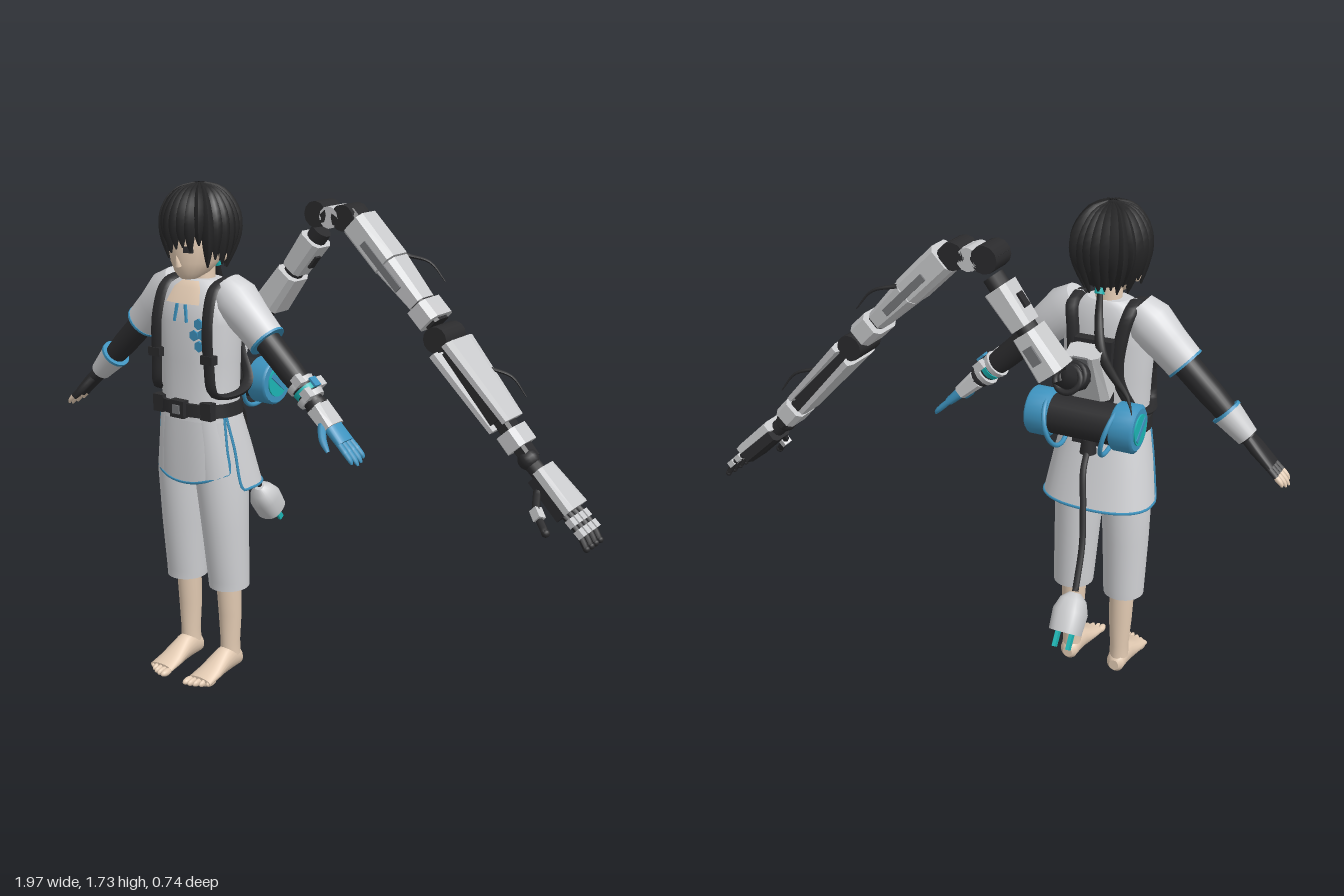
import * as THREE from 'three';

const mat = (name, color, side = THREE.FrontSide) => {
  const m = new THREE.MeshStandardMaterial({ color, side });
  m.name = name;
  return m;
};
const V = (x, y, z) => new THREE.Vector3(x, y, z);

function add(parent, name, geo, material, pos = [0, 0, 0], rot = [0, 0, 0]) {
  const m = new THREE.Mesh(geo, material);
  m.name = name;
  m.position.set(...pos);
  m.rotation.set(...rot);
  parent.add(m);
  return m;
}
const box = (w, h, d) => new THREE.BoxGeometry(w, h, d);
const cyl = (r0, r1, h, n = 16) => new THREE.CylinderGeometry(r1, r0, h, n);
const ball = (r) => new THREE.SphereGeometry(r, 14, 10);
const flat = (g) => { const f = g.toNonIndexed(); f.computeVertexNormals(); return f; };

// Point on a rounded ring [y, rx, rz, cx, cz]; angle 0 is the front
function ringPoint([y, rx, rz, cx = 0, cz = 0], a, p) {
  const f = (v) => Math.sign(v) * Math.abs(v) ** p;
  return V(cx + rx * f(Math.sin(a)), y, cz + rz * f(Math.cos(a)));
}

// Skin through a stack of rings, bottom to top
function loft(rings, { n = 24, p = 1, a0 = 0, a1 = Math.PI * 2, cap = true, rule = null } = {}) {
  const open = a1 - a0 < 6.28, cols = open ? n + 1 : n, pos = [], idx = [];
  const put = (v) => pos.push(v.x, v.y, v.z) / 3 - 1;
  const point = (r, j) => {
    const v = ringPoint(r, a0 + (a1 - a0) * j / n, p);
    if (rule) rule(v);
    return v;
  };
  rings.forEach((r) => { for (let j = 0; j < cols; j++) put(point(r, j)); });
  for (let i = 0; i < rings.length - 1; i++) for (let j = 0; j < n; j++) {
    const a = i * cols + j, b = i * cols + (j + 1) % cols;
    idx.push(a, b, a + cols, b, b + cols, a + cols);
  }
  if (cap && !open) [rings[0], rings.at(-1)].forEach((r, top) => {
    const c = put(V(r[3] || 0, r[0], r[4] || 0)), s = c + 1;
    for (let j = 0; j < n; j++) put(point(r, j));
    for (let j = 0; j < n; j++) {
      const k = s + (j + 1) % n;
      idx.push(c, top ? s + j : k, top ? k : s + j);
    }
  });
  const g = new THREE.BufferGeometry();
  g.setAttribute('position', new THREE.Float32BufferAttribute(pos, 3));
  g.setIndex(idx);
  g.computeVertexNormals();
  return g;
}

// Tube along points whose radius follows a function of 0..1
function taper(points, radius, segs = 16, sides = 8) {
  const curve = new THREE.CatmullRomCurve3(points.map((q) => q.isVector3 ? q : V(...q)));
  const g = new THREE.TubeGeometry(curve, segs, 1, sides), at = g.attributes.position, v = V(0, 0, 0);
  for (let i = 0; i <= segs; i++) {
    const c = curve.getPointAt(i / segs);
    for (let j = 0; j <= sides; j++) {
      const k = i * (sides + 1) + j;
      v.fromBufferAttribute(at, k).sub(c).multiplyScalar(radius(i / segs)).add(c);
      at.setXYZ(k, v.x, v.y, v.z);
    }
  }
  g.computeVertexNormals();
  return g;
}

// Group whose local +y runs from a to b (both in one plane of z)
function frame(parent, name, a, b) {
  const g = new THREE.Group();
  g.name = name;
  g.position.set(...a);
  g.rotation.z = Math.atan2(a[0] - b[0], b[1] - a[1]);
  parent.add(g);
  return g;
}
// Chamfered armour block between two local heights
const armor = (y0, y1, w0, d0, w1 = w0, d1 = d0) => flat(loft(
  [[y0, w0, d0], [y1, w1, d1]], { n: 8, p: 0.5, a0: Math.PI / 8, a1: Math.PI * 2.125 }));

export function createModel() {
  const root = new THREE.Group();
  root.name = 'figureWithMechanicalArm';
  const cloth = mat('paleCloth', 0xd0d1d4), clothOpen = mat('paleClothThin', 0xd0d1d4, THREE.DoubleSide);
  const skin = mat('skin', 0xe3cbb3), hair = mat('hairBlack', 0x262627, THREE.DoubleSide);
  const dark = mat('darkFabric', 0x2b2b2d), blue = mat('blue', 0x3d93bf);
  const teal = mat('teal', 0x1cb5b4), metal = mat('paleMetal', 0xc9cacc), gray = mat('midGray', 0x77787b);
  const body = new THREE.Group();
  body.name = 'body';
  body.position.x = -0.335;
  root.add(body);

  // Tunic, neck and neckline
  const torso = [[0.95, 0.15, 0.105, 0, 0.175], [1.02, 0.143, 0.1, 0, 0.172], [1.15, 0.148, 0.1, 0, 0.168],
    [1.28, 0.155, 0.1, 0, 0.166], [1.35, 0.15, 0.092, 0, 0.162], [1.4, 0.115, 0.072, 0, 0.155], [1.42, 0.07, 0.055, 0, 0.15]];
  add(body, 'tunic', loft(torso, { p: 0.85, n: 32 }), cloth);
  add(body, 'neckline', loft(torso.slice(4).map(([y, x, z, cx, cz]) => [y - 0.004, x + 0.004, z + 0.006, cx, cz]),
    { p: 0.85, a0: -0.42, a1: 0.42, n: 8 }), skin);
  add(body, 'neck', loft([[1.37, 0.055, 0.05, 0, 0.15], [1.42, 0.044, 0.044, 0, 0.148], [1.5, 0.046, 0.048, 0, 0.15]]), skin);
  for (const s of [-1, 1]) add(body, 'neckTrim', box(0.008, 0.06, 0.008), blue, [s * 0.022, 1.315, 0.263], [-0.1, 0, s * 0.15]);
  for (const [x, y] of [[0.075, 1.285], [0.055, 1.245], [0.09, 1.25], [0.075, 1.21]])
    add(body, 'chestHexagon', cyl(0.019, 0.019, 0.008, 6), blue, [x, y, 0.262], [Math.PI / 2, 0, 0]);

  // Split skirt with coloured hems
  const skirt = (name, rings, a0, a1, rule) => {
    add(body, name, loft(rings, { a0, a1, n: 20, p: 0.85, rule }), clothOpen);
    const hem = [];
    const edge = (r, a) => { const v = ringPoint(r, a, 0.85); rule(v); hem.push(v); };
    for (let i = rings.length - 1; i > 0; i--) edge(rings[i], a0);
    for (let j = 0; j <= 16; j++) edge(rings[0], a0 + (a1 - a0) * j / 16);
    for (let i = 1; i < rings.length; i++) edge(rings[i], a1);
    add(body, name + 'Hem', taper(hem, () => 0.005, 80, 5), blue);
  };
  skirt('frontSkirt', [[0.73, 0.165, 0.115, 0, 0.168], [0.86, 0.158, 0.112, 0, 0.17], [0.98, 0.147, 0.104, 0, 0.174]],
    -1.2, 1.2, (v) => { if (v.y < 0.8) v.y += 1.6 * v.x * v.x; });
  skirt('backSkirt', [[0.71, 0.195, 0.13, 0, 0.13], [0.86, 0.172, 0.115, 0, 0.155], [0.98, 0.147, 0.104, 0, 0.174]],
    1.25, Math.PI * 2 - 1.25, () => {});

  // Belt with pouches
  add(body, 'belt', loft([[0.968, 0.157, 0.113, 0, 0.175], [1.012, 0.154, 0.111, 0, 0.175]], { p: 0.85, n: 32 }), dark);
  for (const x of [-0.105, 0, 0.105])
    add(body, 'beltPouch', box(x ? 0.045 : 0.06, 0.06, 0.03), dark, [x, 0.992, x ? 0.26 : 0.285]);
  add(body, 'buckle', box(0.03, 0.03, 0.006), gray, [0, 0.992, 0.302]);

  // Legs, trousers and feet
  for (const s of [-1, 1]) {
    add(body, 'trouserLeg', loft([[0.33, 0.071, 0.073, s * 0.097, 0.157], [0.36, 0.073, 0.074, s * 0.096, 0.157],
      [0.55, 0.08, 0.086, s * 0.092, 0.165], [0.75, 0.088, 0.1, s * 0.084, 0.17], [0.96, 0.075, 0.095, s * 0.07, 0.174]]), cloth);
    add(body, 'lowerLeg', loft([[0.06, 0.034, 0.04, s * 0.093, 0.152], [0.11, 0.033, 0.038, s * 0.093, 0.152],
      [0.22, 0.041, 0.042, s * 0.093, 0.15], [0.36, 0.045, 0.045, s * 0.092, 0.155]]), skin);
    const foot = loft([[0.108, 0.018, 0.02, s * 0.092, -0.035], [0.12, 0.032, 0.036, s * 0.092, -0.04],
      [0.16, 0.036, 0.05, s * 0.092, -0.052], [0.2, 0.039, 0.046, s * 0.092, -0.047], [0.27, 0.048, 0.026, s * 0.091, -0.027],
      [0.325, 0.05, 0.016, s * 0.09, -0.016]], { n: 20 });
    add(body, 'foot', foot.rotateX(Math.PI / 2), skin);
    for (let i = 0; i < 5; i++)
      add(body, 'toe', ball(1), skin, [s * (0.052 + i * 0.019), 0.014, 0.34 - i * i * 0.0022])
        .scale.set(i ? 0.0095 : 0.013, 0.013, 0.027);
  }

  // Head and face
  add(body, 'head', loft([[1.425, 0.028, 0.03, 0, 0.215], [1.445, 0.055, 0.062, 0, 0.198], [1.48, 0.079, 0.088, 0, 0.18],
    [1.53, 0.095, 0.104, 0, 0.167], [1.6, 0.1, 0.11, 0, 0.16], [1.68, 0.07, 0.08, 0, 0.155]]), skin);
  add(body, 'nose', new THREE.ConeGeometry(0.012, 0.04, 8), skin, [0, 1.49, 0.272], [0.3, 0, 0]);
  for (const s of [-1, 1]) {
    add(body, 'eye', box(0.032, 0.02, 0.008), dark, [s * 0.04, 1.527, 0.263], [0, s * 0.35, 0]);
    add(body, 'ear', ball(1), skin, [s * 0.094, 1.51, 0.15]).scale.set(0.012, 0.028, 0.02);
  }

  // Hair: cap, back shell, overlapping locks and a thin tail
  const dome = [0, 0.25, 0.5, 0.7, 0.85, 0.95, 1].map((t) => {
    const c = Math.sqrt(Math.max(1 - t * t, 0.0004));
    return [1.585 + 0.148 * t, 0.115 * c, 0.132 * c, 0, 0.152];
  });
  add(body, 'hairCap', loft(dome, { n: 28 }), hair);
  add(body, 'backHair', loft([[1.48, 0.075, 0.085, 0, 0.135], [1.53, 0.105, 0.12, 0, 0.145], [1.59, 0.115, 0.132, 0, 0.152]],
    { a0: 1.1, a1: Math.PI * 2 - 1.1 }), hair);
  for (let i = 0; i < 26; i++) {
    const a = i / 26 * Math.PI * 2, front = Math.cos(a);
    const end = (front > 0.6 ? 1.527 : front > -0.2 ? 1.48 : 1.462) + 0.014 * Math.sin(i * 2.7);
    const inward = front > 0.6 ? 0.97 : front > -0.2 ? 0.93 : 0.72;
    const at = (k, y) => [0.109 * k * Math.sin(a), y, 0.152 + 0.127 * k * front];
    add(body, 'hairLock', taper([at(0.12, 1.727), at(0.6, 1.702), at(0.92, 1.645), at(1.01, 1.585), at(inward, end)],
      (t) => 0.008 + 0.017 * Math.sin(Math.PI * Math.min(t * 0.85, 1)) - 0.013 * t ** 4, 14, 5), hair);
  }
  add(body, 'hairTie', cyl(0.016, 0.016, 0.022), teal, [0, 1.462, 0.07], [0.4, 0, 0]);
  add(body, 'hairTail', taper([[0, 1.47, 0.075], [-0.01, 1.38, 0.045], [-0.05, 1.29, -0.02], [-0.12, 1.24, -0.08], [-0.18, 1.2, -0.115], [-0.205, 1.15, -0.135]],
    (t) => 0.009 + 0.012 * Math.sin(Math.PI * t) - 0.008 * t), hair);

  // Arms: sleeve, dark undersleeve, cuffs and hands
  for (const s of [-1, 1]) {
    const left = s > 0;
    const arm = frame(body, left ? 'leftArm' : 'rightArm', [s * 0.165, 1.335, 0.148], [s * 0.655, 0.875, 0.148]);
    add(arm, 'sleeve', loft([[-0.09, 0.06, 0.06], [-0.03, 0.08, 0.078], [0.06, 0.07, 0.066], [0.145, 0.065, 0.062]]), cloth);
    add(arm, 'sleeveHem', cyl(0.066, 0.066, 0.008, 24), blue, [0, 0.146, 0]);
    add(arm, 'undersleeve', loft([[0.1, 0.046, 0.046], [0.28, 0.043, 0.043], [0.46, 0.029, 0.032]]), dark);
    if (left) {
      for (const [y, r, m] of [[0.335, 0.05, metal], [0.362, 0.043, teal], [0.39, 0.049, metal]])
        add(arm, 'bracer', cyl(r, r - 0.003, 0.02, 12), m, [0, y, 0]);
      for (const [y, z] of [[0.33, 0.04], [0.385, 0.045], [0.36, -0.045]])
        add(arm, 'bracerModule', box(0.03, 0.035, 0.028), metal, [-0.03, y, z]);
      add(arm, 'bracerLight', box(0.008, 0.035, 0.03), blue, [-0.052, 0.36, 0]);
      add(arm, 'wristPlate', armor(0.425, 0.51, 0.034, 0.038, 0.026, 0.044), metal);
      add(arm, 'wristBand', cyl(0.037, 0.037, 0.016), dark, [0, 0.42, 0]);
    } else {
      add(arm, 'cuff', loft([[0.35, 0.051, 0.05], [0.455, 0.036, 0.038]]), metal);
      add(arm, 'cuffTrim', cyl(0.053, 0.053, 0.01, 24), blue, [0, 0.35, 0]);
    }
    add(arm, 'palm', loft([[0.45, 0.022, 0.028], [0.5, 0.022, 0.038], [0.575, 0.016, 0.042]], { p: 0.8 }), left ? blue : dark);
    for (let i = 0; i < 4; i++) {
      const z = 0.031 - i * 0.0207, tip = 0.665 - Math.abs(i - 1.3) * 0.012;
      add(arm, 'fingerBase', taper([[0, 0.56, z], [0, 0.61, z * 1.1]], () => 0.0105, 4), left ? blue : dark);
      add(arm, 'fingertip', taper([[0, 0.6, z * 1.08], [s * 0.002, 0.64, z * 1.15], [s * 0.006, tip, z * 1.15]],
        (t) => 0.0098 - 0.006 * t ** 4, 8), left ? blue : skin);
    }
    add(arm, 'thumb', taper([[s * 0.008, 0.485, 0.03], [s * 0.02, 0.53, 0.06], [s * 0.025, 0.575, 0.072]],
      (t) => 0.014 - 0.008 * t ** 3, 8), left ? blue : dark);
  }

  // Shoulder straps, flattened by widening them along x
  for (const s of [-1, 1]) {
    const w = 2.1, pts = [[0.1, 1.42, 0.14], [0.105, 1.4, 0.215], [0.11, 1.3, 0.258], [0.115, 1.15, 0.262], [0.125, 1.05, 0.25],
      [0.15, 1.04, 0.18], [0.135, 1.07, 0.08], [0.08, 1.18, 0.055], [0.085, 1.32, 0.06], [0.1, 1.4, 0.085], [0.1, 1.42, 0.14]];
    const g = taper(pts.map(([x, y, z]) => [s * x / w, y, z]), () => 0.011, 60, 6).scale(w, 1, 1);
    g.computeVertexNormals();
    add(body, 'shoulderStrap', g, dark);
    add(body, 'strapClip', box(0.05, 0.03, 0.03), dark, [s * 0.115, 1.17, 0.262]);
  }

  // Backpack and sideways tank
  add(body, 'backpackPlate', box(0.13, 0.22, 0.04), dark, [0, 1.2, 0.045]);
  add(body, 'backpackShell', armor(-0.09, 0.09, 0.075, 0.05, 0.06, 0.035), metal, [0, 1.215, 0.0], [-0.45, 0, 0]);
  add(body, 'backpackStripe', box(0.05, 0.1, 0.008), gray, [0, 1.24, -0.055], [-0.45, 0, 0]);
  const tank = new THREE.Group();
  tank.name = 'tank';
  tank.position.set(0, 1.05, -0.015);
  tank.rotation.z = Math.PI / 2;
  body.add(tank);
  add(tank, 'tankCore', cyl(0.068, 0.068, 0.24, 24), dark);
  for (const s of [-1, 1]) {
    add(tank, 'tankCap', loft([[-0.04, 0.074, 0.074], [-0.032, 0.081, 0.081], [0.032, 0.081, 0.081], [0.04, 0.07, 0.07]]), blue, [0, s * 0.148, 0]);
    add(tank, 'tankLight', cyl(0.052, 0.052, 0.008, 24), teal, [0, s * 0.189, 0]);
    add(tank, 'tankBar', box(0.018, 0.008, 0.09), blue, [0, s * 0.192, 0], [0, 0.7, 0]);
    add(tank, 'tankPipe', new THREE.TorusGeometry(0.085, 0.008, 8, 32), blue, [-0.018, s * 0.1, -0.012], [Math.PI / 2, s * 0.25, 0]);
  }
  add(body, 'tankBracket', box(0.1, 0.06, 0.08), dark, [0, 0.985, 0.035]);
  add(body, 'tankValve', cyl(0.028, 0.022, 0.05), dark, [-0.02, 0.965, -0.03]);

  // Power cable and plug
  add(body, 'cable', taper([[-0.02, 0.96, -0.03], [-0.03, 0.9, -0.09], [-0.05, 0.8, -0.13], [-0.07, 0.68, -0.175], [-0.085, 0.55, -0.255]],
    () => 0.011, 30), dark);
  const plug = new THREE.Group();
  plug.name = 'plug';
  plug.position.set(-0.085, 0.485, -0.295);
  plug.rotation.x = 0.6;
  body.add(plug);
  add(plug, 'plugBody', loft([[-0.06, 0.052, 0.056], [0.01, 0.056, 0.058], [0.05, 0.042, 0.043], [0.072, 0.018, 0.018]], { p: 0.8 }), metal);
  for (const s of [-1, 1]) add(plug, 'plugProng', box(0.012, 0.055, 0.022), teal, [s * 0.024, -0.085, 0]);

  // Mechanical arm: shoulder joint and rising segment
  add(root, 'baseJoint', ball(0.05), dark, [-0.325, 1.225, -0.085]);
  add(root, 'baseLink', taper([[-0.325, 1.2, -0.05], [-0.325, 1.235, -0.13], [-0.31, 1.28, -0.2]], () => 0.038, 12), dark);
  for (const r of [-0.11, -0.145]) add(root, 'baseRing', new THREE.TorusGeometry(0.042, 0.01, 8, 20), dark, [-0.325, 1.235, r], [0.5, 0, 0]);
  const seg1 = frame(root, 'risingSegment', [-0.31, 1.28, -0.205], [-0.06, 1.6, -0.205]);
  add(seg1, 'lowerArmor', armor(0, 0.15, 0.052, 0.064, 0.045, 0.06), metal);
  add(seg1, 'core', cyl(0.036, 0.036, 0.3, 10), dark, [0, 0.2, 0]);
  add(seg1, 'upperArmor', armor(0.17, 0.31, 0.04, 0.05, 0.046, 0.055), metal);
  add(seg1, 'slot', box(0.035, 0.06, 0.008), gray, [0, 0.08, -0.064]);
  add(seg1, 'slot', box(0.1, 0.05, 0.03), dark, [0, 0.24, 0]);

  // Elbow of three linked barrels
  for (const [x, y, m, r] of [[-0.085, 1.615, dark, 0.045], [-0.03, 1.608, metal, 0.038], [0.025, 1.61, dark, 0.045]]) {
    add(root, 'elbowBarrel', cyl(r, r, 0.1, 12), m, [x, y, -0.2], [Math.PI / 2, 0, 0]);
    add(root, 'elbowBlock', box(0.06, 0.065, 0.075), m, [x, y, -0.2], [0, 0, m === dark ? 0.5 : 0]);
  }

  // Upper and fore segments, each with a spike
  const spike = (g, y) => add(g, 'spike', taper([[-0.03, y, -0.06], [-0.07, y + 0.07, -0.085], [-0.062, y + 0.15, -0.1]],
    (t) => 0.008 - 0.006 * t, 10, 5), dark);
  const seg2 = frame(root, 'upperSegment', [0.05, 1.61, -0.2], [0.38, 1.285, -0.2]);
  add(seg2, 'core', armor(-0.02, 0.46, 0.03, 0.045), dark);
  add(seg2, 'topArmor', armor(0.02, 0.2, 0.052, 0.062, 0.05, 0.066), metal);
  add(seg2, 'midArmor', armor(0.205, 0.37, 0.047, 0.064, 0.034, 0.054), metal);
  add(seg2, 'endBlock', armor(0.38, 0.45, 0.045, 0.072), metal);
  for (const s of [-1, 1]) add(seg2, 'sidePanel', box(0.025, 0.2, 0.008), gray, [0.005, 0.2, s * 0.063]);
  spike(seg2, 0.2);
  const seg3 = frame(root, 'foreSegment', [0.4, 1.255, -0.195], [0.725, 0.905, -0.195]);
  add(seg3, 'hinge', cyl(0.044, 0.044, 0.13, 14), dark, [0, 0.01, 0], [Math.PI / 2, 0, 0]);
  add(seg3, 'core', armor(0, 0.5, 0.036, 0.045, 0.024, 0.036), dark);
  for (const s of [-1, 1])
    add(seg3, 'shellPlate', armor(0.045, 0.36, 0.017, 0.09, 0.013, 0.062), metal, [s * 0.03, 0, 0]);
  add(seg3, 'innerStripe', box(0.07, 0.28, 0.11), dark, [0, 0.2, 0]);
  add(seg3, 'wristBlock', armor(0.385, 0.45, 0.042, 0.06), metal);
  spike(seg3, 0.17);

  // Mechanical hand
  const hand = frame(root, 'mechanicalHand', [0.735, 0.89, -0.185], [0.985, 0.66, -0.185]);
  add(hand, 'wristBall', ball(0.036), dark, [0, 0.0, 0]);
  add(hand, 'wristLink', cyl(0.028, 0.028, 0.09, 10), dark, [0, 0.03, 0]);
  add(hand, 'palm', armor(0.06, 0.215, 0.03, 0.052, 0.03, 0.068), dark, [0.008, 0, 0]);
  add(hand, 'palmCover', armor(0.05, 0.215, 0.02, 0.056, 0.018, 0.07), metal, [-0.022, 0, 0]);
  for (let i = 0; i < 4; i++) {
    const z = 0.051 - i * 0.034;
    add(hand, 'finger', taper([[0, 0.2, z], [-0.004, 0.27, z], [0.012, 0.335, z]], () => 0.0105, 8, 6), dark);
    for (const y of [0.245, 0.288]) add(hand, 'knucklePlate', box(0.022, 0.028, 0.026), metal, [-0.006, y, z]);
    add(hand, 'fingerCap', ball(0.0115), dark, [0.012, 0.337, z]);
  }
  add(hand, 'thumb', taper([[0.02, 0.1, 0.05], [0.04, 0.15, 0.095], [0.05, 0.22, 0.12]], () => 0.013, 10, 6), dark);
  add(hand, 'thumbPlate', box(0.03, 0.04, 0.03), metal, [0.042, 0.16, 0.1], [0.5, 0, 0]);
  add(hand, 'thumbCap', ball(0.014), dark, [0.05, 0.222, 0.12]);
  return root;
}
